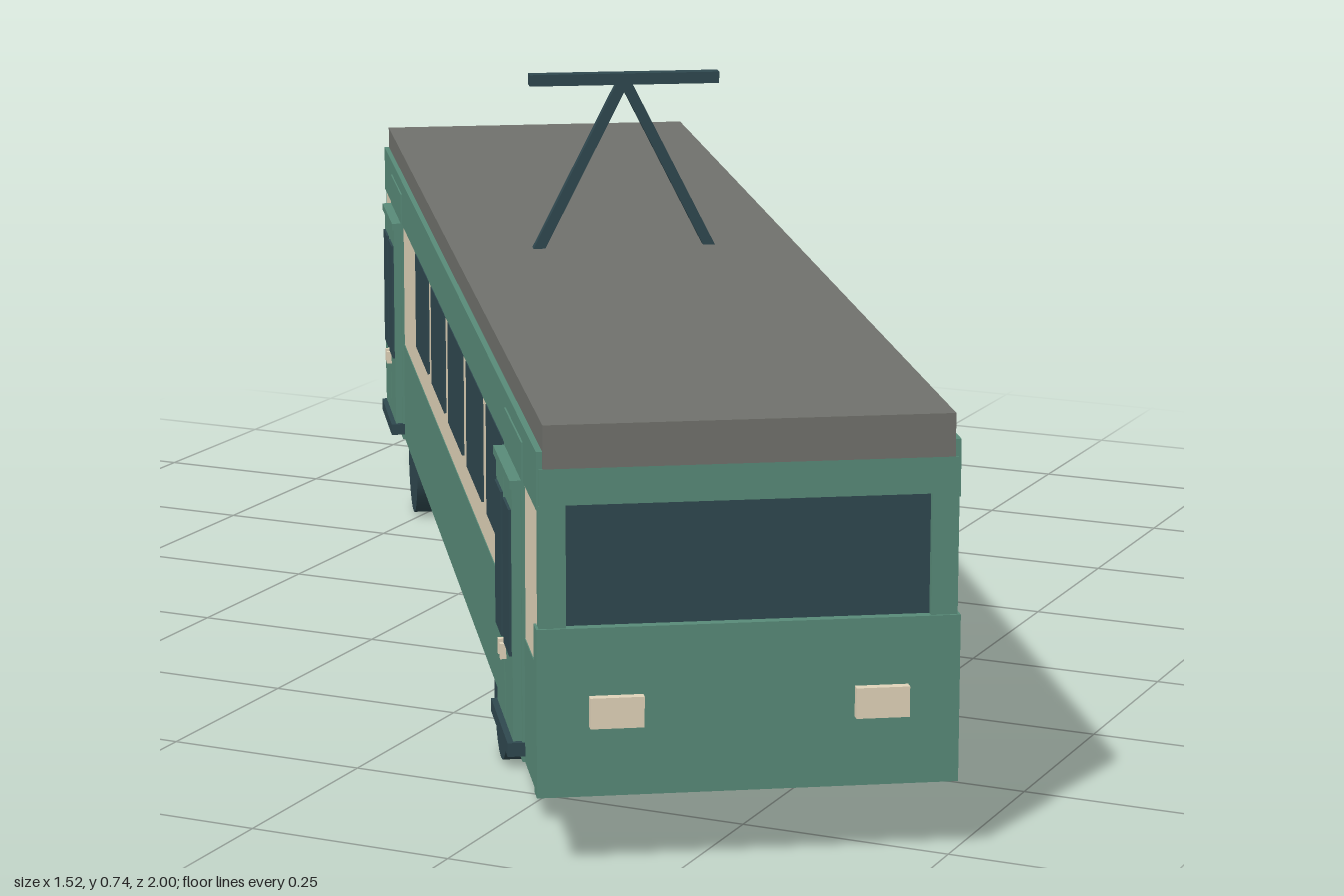
import * as THREE from 'three';

const mat = (name, color) => Object.assign(new THREE.MeshStandardMaterial({ color }), { name });

export function createModel() {
  const green = mat('green paint', 0x588a78);
  const cream = mat('cream trim', 0xe0d3b9);
  const dark = mat('dark glass and metal', 0x2f484f);
  const grey = mat('roof grey', 0x70716c);

  const tram = new THREE.Group();
  tram.name = 'tram';

  // Box given by its extents along each axis
  const box = (name, material, x0, x1, y0, y1, z0, z1, parent = tram) => {
    const m = new THREE.Mesh(new THREE.BoxGeometry(x1 - x0, y1 - y0, z1 - z0), material);
    m.name = name;
    m.position.set((x0 + x1) / 2, (y0 + y1) / 2, (z0 + z1) / 2);
    parent.add(m);
    return m;
  };

  // Hull and roof
  box('body', green, -0.231, 0.231, 0.085, 0.456, -1.02, 1.02);
  box('roof', grey, -0.228, 0.228, 0.456, 0.505, -1.033, 1.033);

  // Side panels: lower skirt, cream belt and upper band
  for (const s of [-1, 1]) {
    const side = (name, material, out, y0, y1, z0, z1) =>
      box(name, material, Math.min(s * 0.226, s * out), Math.max(s * 0.226, s * out), y0, y1, z0, z1);
    side('lowerSkirt', green, 0.234, 0.085, 0.23, -1.02, 1.02);
    side('creamBelt', cream, 0.233, 0.23, 0.41, -1.02, 1.016);
    side('upperBand', green, 0.235, 0.41, 0.475, -1.03, 1.03);
    const centres = s > 0
      ? Array.from({ length: 8 }, (_, i) => -0.872 + i * 0.249)
      : Array.from({ length: 5 }, (_, i) => -0.385 + i * 0.246);
    for (const z of centres) side('sideWindow', dark, 0.236, 0.275, 0.411, z - 0.094, z + 0.094);
  }

  // Double doors on the right side
  for (const zc of [-0.8, 0.813]) {
    const door = new THREE.Group();
    door.name = 'door';
    door.position.z = zc;
    tram.add(door);
    box('doorSurround', green, -0.237, -0.226, 0.085, 0.456, -0.089, 0.089, door);
    for (const s of [-1, 1]) {
      const z = s * 0.043;
      box('doorLeaf', green, -0.247, -0.236, 0.108, 0.402, z - 0.04, z + 0.04, door);
      box('doorWindow', dark, -0.25, -0.246, 0.205, 0.375, z - 0.031, z + 0.031, door);
      box('doorHandle', cream, -0.254, -0.246, 0.185, 0.203, s * 0.011 - 0.004, s * 0.011 + 0.004, door);
    }
    box('doorHeader', green, -0.25, -0.235, 0.402, 0.412, -0.088, 0.088, door);
    box('doorStep', dark, -0.254, -0.232, 0.092, 0.108, -0.09, 0.09, door);
  }

  // Matching front and rear ends
  for (const turn of [0, Math.PI]) {
    const end = new THREE.Group();
    end.name = turn ? 'rearEnd' : 'frontEnd';
    end.rotation.y = turn;
    tram.add(end);
    box('endPanel', green, -0.236, 0.236, 0.085, 0.277, 1.01, 1.036, end);
    box('windscreenHeader', green, -0.232, 0.232, 0.415, 0.456, 1.01, 1.033, end);
    box('windscreen', dark, -0.203, 0.203, 0.277, 0.415, 1.018, 1.024, end);
    for (const s of [-1, 1]) {
      box('cornerPillar', green, s * 0.218 - 0.015, s * 0.218 + 0.015, 0.277, 0.415, 1.01, 1.033, end);
      box('headlight', cream, s * 0.148 - 0.03, s * 0.148 + 0.03, 0.165, 0.2, 1.03, 1.047, end);
    }
  }

  // Wheels
  const wheelGeo = new THREE.CylinderGeometry(0.072, 0.072, 0.034, 24).rotateZ(Math.PI / 2);
  for (const x of [-0.214, 0.214]) for (const z of [-0.61, 0.61]) {
    const wheel = new THREE.Mesh(wheelGeo, dark);
    wheel.name = 'wheel';
    wheel.position.set(x, 0.072, z);
    tram.add(wheel);
  }

  // Current collector: two leaning arms and a contact bar
  const collector = new THREE.Group();
  collector.name = 'currentCollector';
  tram.add(collector);
  box('contactBar', dark, -0.125, 0.125, 0.721, 0.736, -0.01, 0.01, collector);
  for (const s of [-1, 1]) {
    const arm = new THREE.Mesh(new THREE.BoxGeometry(0.014, Math.hypot(0.117, 0.23), 0.014), dark);
    arm.name = 'collectorArm';
    arm.position.set(s * 0.0585, 0.612, 0);
    arm.rotation.z = s * Math.atan2(0.117, 0.23);
    collector.add(arm);
  }

  // The vehicle stands at an angle on the ground
  tram.rotation.y = 0.5705;
  const model = new THREE.Group();
  model.name = 'model';
  model.add(tram);
  return model;
}
